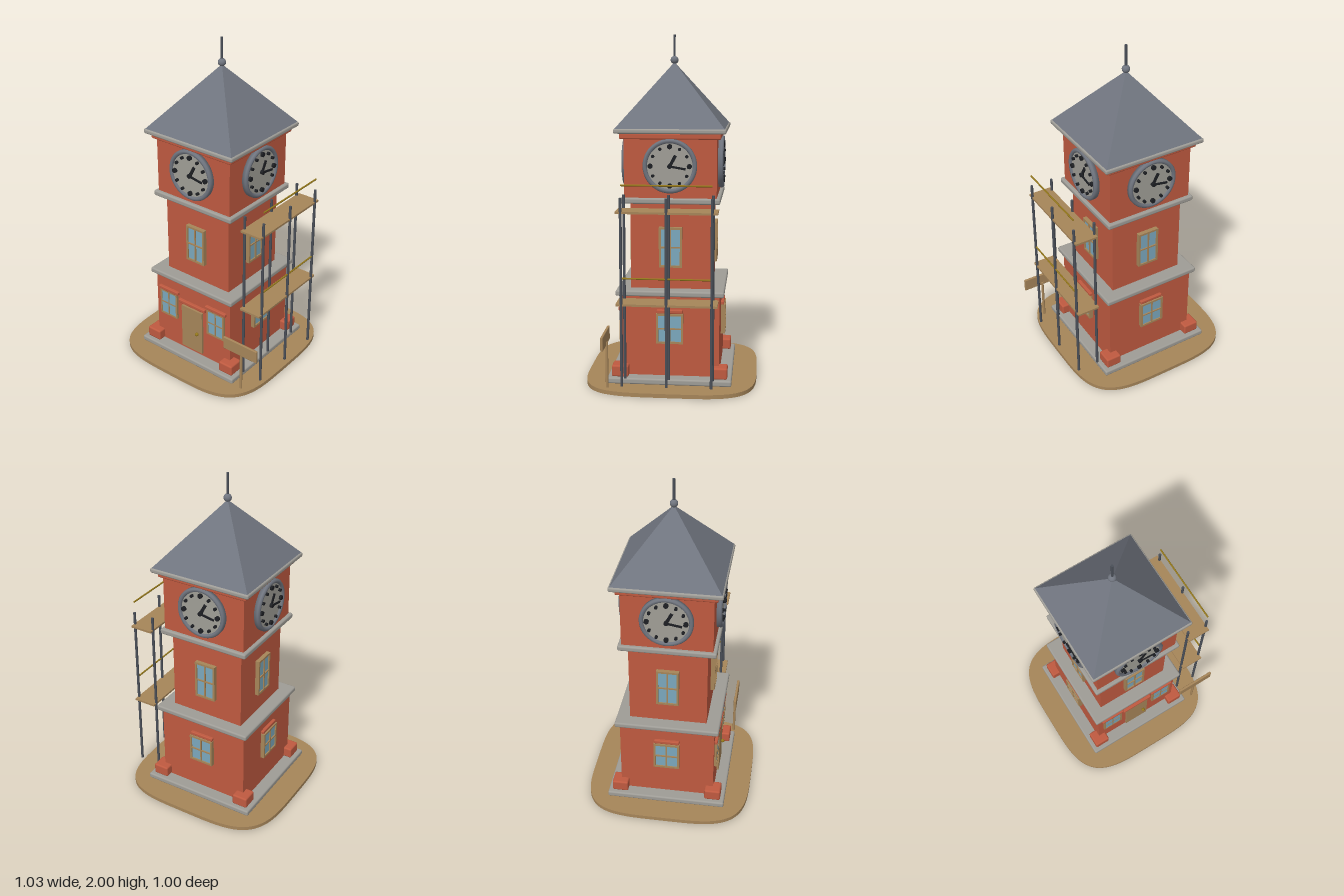
import * as THREE from 'three';
import { RoundedBoxGeometry } from 'three/addons/geometries/RoundedBoxGeometry.js';

const mat = (name, color) => Object.assign(new THREE.MeshStandardMaterial({ color }), { name });
const M = {
  brick: mat('brick red', 0xbf5a40),
  stone: mat('pale stone', 0x9e9c96),
  slate: mat('slate grey', 0x70757f),
  wood: mat('tan wood', 0xa68559),
  glass: mat('window blue', 0x7ba8bd),
  dial: mat('clock face', 0xa09e96),
  black: mat('clock black', 0x1d1f23),
  steel: mat('scaffold steel', 0x4a4f58),
  brass: mat('brass', 0x94781c),
};

function add(parent, name, geometry, material, x = 0, y = 0, z = 0) {
  const mesh = new THREE.Mesh(geometry, material);
  mesh.name = name;
  mesh.position.set(x, y, z);
  parent.add(mesh);
  return mesh;
}
const box = (w, h, d) => new THREE.BoxGeometry(w, h, d);
const rbox = (w, h, d, r = 0.008) => new RoundedBoxGeometry(w, h, d, 2, r);
const rod = (r, h, n = 12) => new THREE.CylinderGeometry(r, r, h, n);
const disc = (r, d, n = 16) => rod(r, d, n).rotateX(Math.PI / 2);

function group(parent, name) {
  const g = new THREE.Group();
  g.name = name;
  parent.add(g);
  return g;
}

// Four-pane window whose back lies on z = 0
function windowUnit(parent, w, h, depth, x, y, z) {
  const g = group(parent, 'window');
  g.position.set(x, y, z);
  const border = 0.012, bar = 0.004;
  const s = new THREE.Shape();
  s.moveTo(-w / 2, -h / 2).lineTo(w / 2, -h / 2).lineTo(w / 2, h / 2).lineTo(-w / 2, h / 2).closePath();
  for (const sx of [-1, 1]) for (const sy of [-1, 1]) {
    const x0 = sx * bar, x1 = sx * (w / 2 - border), y0 = sy * bar, y1 = sy * (h / 2 - border);
    const hole = new THREE.Path();
    hole.moveTo(x0, y0).lineTo(x1, y0).lineTo(x1, y1).lineTo(x0, y1).closePath();
    s.holes.push(hole);
  }
  add(g, 'windowFrame', new THREE.ExtrudeGeometry(s, { depth, bevelEnabled: false }), M.wood);
  add(g, 'windowGlass', box(w - 0.01, h - 0.01, 0.008), M.glass, 0, 0, depth * 0.55);
}

function lintel(parent, w, x, y, z) {
  add(parent, 'lintel', rbox(w, 0.022, 0.036, 0.005), M.brick, x, y, z);
}

// Clock with rim, hour dots and hands
function clock(parent, y, z) {
  const g = group(parent, 'clock');
  g.position.set(0, y, z);
  add(g, 'clockFace', disc(0.138, 0.03, 48), M.dial, 0, 0, 0.005);
  const rim = [[0.128, 0], [0.152, 0], [0.153, 0.022], [0.146, 0.031], [0.134, 0.031], [0.128, 0.022], [0.128, 0]];
  add(g, 'clockRim', new THREE.LatheGeometry(rim.map(p => new THREE.Vector2(...p)), 48).rotateX(Math.PI / 2), M.slate);
  for (let i = 0; i < 12; i++) {
    const a = i * Math.PI / 6, r = i % 3 ? 0.009 : 0.014;
    add(g, 'hourDot', disc(r, 0.016), M.black, Math.sin(a) * 0.11, Math.cos(a) * 0.11, 0.026);
  }
  for (const [name, w, len, a, dz] of [['hourHand', 0.018, 0.075, 0.49, 0.026], ['minuteHand', 0.012, 0.097, 1.74, 0.031]]) {
    add(g, name, box(w, len, 0.006).translate(0, len / 2 - 0.006, 0), M.black, 0, 0, dz).rotation.z = -a;
  }
  add(g, 'clockHub', disc(0.013, 0.02), M.black, 0, 0, 0.027);
}

export function createModel() {
  const root = new THREE.Group();
  root.name = 'clockTower';

  // Ground slab: superellipse outline
  const outline = [];
  const pw = v => Math.sign(v) * Math.sqrt(Math.abs(v)) * 0.498;
  for (let i = 0; i < 96; i++) {
    const a = i / 96 * Math.PI * 2;
    outline.push(new THREE.Vector2(pw(Math.cos(a)), pw(Math.sin(a))));
  }
  const slab = new THREE.ExtrudeGeometry(new THREE.Shape(outline), { depth: 0.023, bevelEnabled: false });
  add(root, 'ground', slab.rotateX(-Math.PI / 2), M.wood, -0.02);

  const tower = group(root, 'tower');
  tower.position.x = -0.02;

  // Stacked storeys and ledges: name, half width, bottom, top
  for (const [name, r, y0, y1] of [['lowerStorey', 0.283, 0.05, 0.54], ['middleStorey', 0.23, 0.55, 1.07], ['upperStorey', 0.262, 1.08, 1.46]])
    add(tower, name, box(2 * r, y1 - y0, 2 * r), M.brick, 0, (y0 + y1) / 2);
  for (const [name, r, y0, y1] of [['plinth', 0.357, 0.022, 0.057], ['lowerLedge', 0.31, 0.528, 0.561], ['upperLedge', 0.283, 1.057, 1.09], ['eaves', 0.315, 1.454, 1.482]])
    add(tower, name, rbox(2 * r, y1 - y0, 2 * r, 0.01), M.stone, 0, (y0 + y1) / 2);
  add(tower, 'upperTrim', rbox(0.57, 0.034, 0.57), M.brick, 0, 1.439);
  for (const sx of [-1, 1]) for (const sz of [-1, 1])
    add(tower, 'cornerBlock', rbox(0.097, 0.067, 0.097, 0.01), M.brick, sx * 0.284, 0.089, sz * 0.284);

  // Roof and finial
  const roof = new THREE.ConeGeometry(0.308 * Math.SQRT2, 0.365, 4).rotateY(Math.PI / 4).toNonIndexed();
  roof.computeVertexNormals();
  add(tower, 'roof', roof, M.slate, 0, 1.6625);
  add(tower, 'finialBall', new THREE.SphereGeometry(0.023, 20, 14), M.slate, 0, 1.857);
  add(tower, 'finialSpike', rod(0.007, 0.15), M.steel, 0, 1.925);

  // Four sides: clock, middle window, lower windows
  for (let i = 0; i < 4; i++) {
    const side = group(tower, ['front', 'left', 'back', 'right'][i] + 'Side');
    side.rotation.y = i * Math.PI / 2;
    clock(side, 1.273, 0.262);
    windowUnit(side, 0.132, 0.232, 0.025, 0, 0.804, 0.23);
    if (i > 0) {
      windowUnit(side, 0.154, 0.176, 0.025, 0, 0.341, 0.283);
      lintel(side, 0.15, 0, 0.439, 0.283);
    } else {
      for (const s of [-1, 1]) {
        windowUnit(side, 0.132, 0.176, 0.014, s * 0.182, 0.341, 0.283);
        lintel(side, 0.153, s * 0.182, 0.439, 0.283);
      }
      add(side, 'door', box(0.158, 0.295, 0.026), M.wood, 0, 0.2275, 0.283);
      lintel(side, 0.205, 0, 0.402, 0.283);
      add(side, 'doorKnob', new THREE.SphereGeometry(0.011, 14, 10), M.brass, 0.046, 0.217, 0.305);
    }
  }

  // Scaffold beside the tower
  const scaffold = group(root, 'scaffold');
  for (const x of [0.338, 0.466]) for (const z of [-0.25, 0, 0.25])
    add(scaffold, 'scaffoldPole', rod(0.008, 1.064), M.steel, x, 0.59, z);
  for (const y of [0.524, 1.04]) {
    add(scaffold, 'plank', box(0.137, 0.012, 0.562), M.wood, 0.402, y);
    add(scaffold, 'handRail', rod(0.005, 0.5, 8).rotateX(Math.PI / 2), M.brass, 0.466, y + 0.151);
  }

  // Blank sign board on a post
  const sign = group(root, 'sign');
  add(sign, 'signBoard', rbox(0.24, 0.08, 0.015, 0.004), M.wood, 0.394, 0.309, 0.354);
  add(sign, 'signPost', rod(0.008, 0.27), M.wood, 0.395, 0.155, 0.345);

  return root;
}
